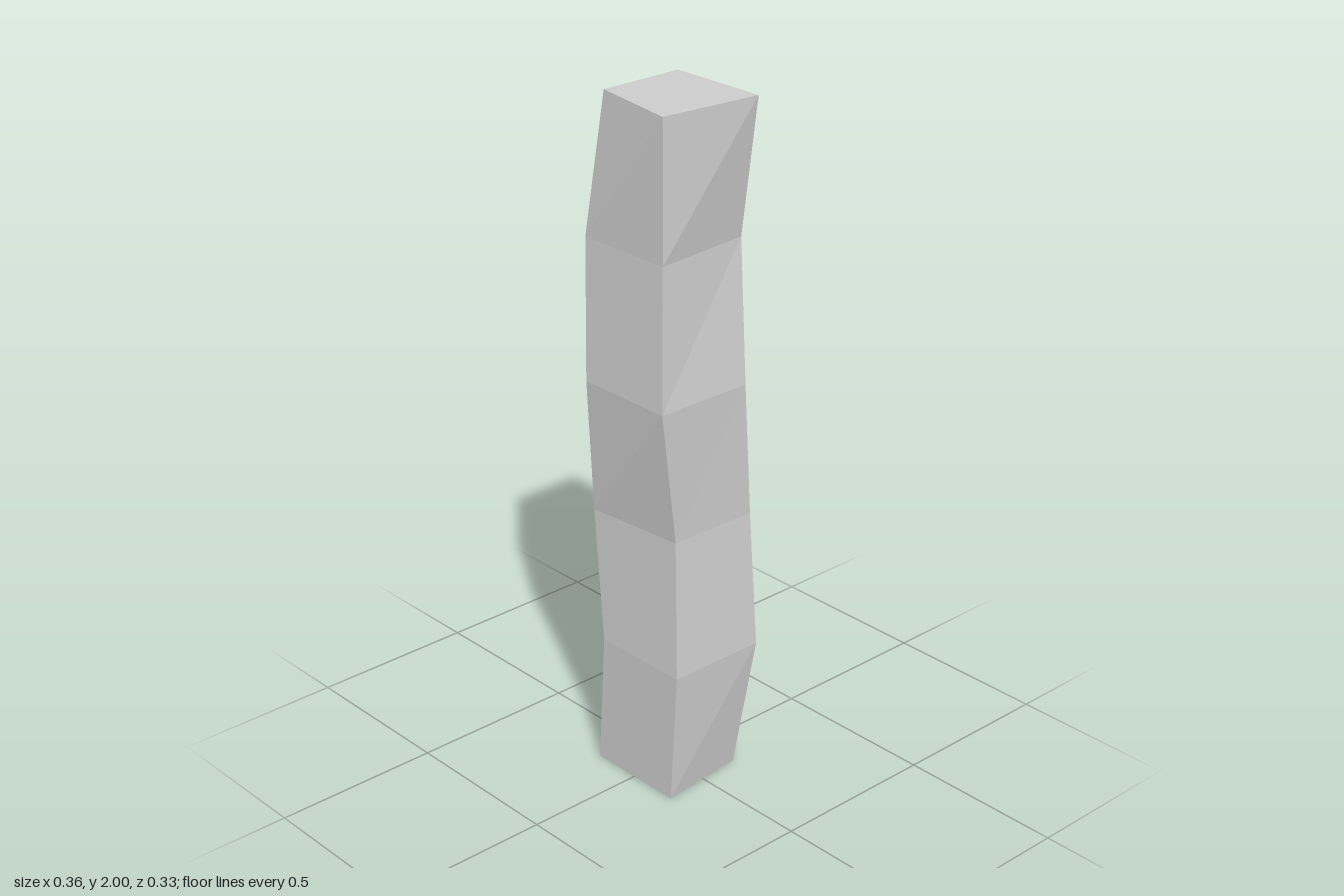
import * as THREE from 'three';

// Rings from bottom to top; corners: front left(-x), front right(+x), back right, back left as [x, z]
const rings = [
  [[-0.15, 0.137], [0.155, 0.137], [0.128, -0.132], [-0.15, -0.165]],
  [[-0.125, 0.137], [0.18, 0.137], [0.18, -0.167], [-0.125, -0.132]],
  [[-0.16, 0.137], [0.145, 0.11], [0.147, -0.167], [-0.16, -0.167]],
  [[-0.15, 0.167], [0.155, 0.167], [0.155, -0.135], [-0.12, -0.135]],
  [[-0.18, 0.137], [0.125, 0.137], [0.098, -0.167], [-0.158, -0.14]],
  [[-0.15, 0.093], [0.125, 0.137], [0.155, -0.167], [-0.15, -0.167]],
];
const STEP = 0.4;

export function createModel() {
  const positions = [];
  const corner = (level, i) => {
    const [x, z] = rings[level][i % 4];
    return [x, level * STEP, z];
  };
  const quad = (a, b, c, d) => positions.push(...a, ...b, ...c, ...a, ...c, ...d);

  // Four sides, one quad per segment
  const top = rings.length - 1;
  for (let l = 0; l < top; l++) {
    for (let i = 0; i < 4; i++) {
      quad(corner(l, i), corner(l, i + 1), corner(l + 1, i + 1), corner(l + 1, i));
    }
  }
  // End caps
  quad(corner(top, 0), corner(top, 1), corner(top, 2), corner(top, 3));
  quad(corner(0, 3), corner(0, 2), corner(0, 1), corner(0, 0));

  const geometry = new THREE.BufferGeometry();
  geometry.setAttribute('position', new THREE.Float32BufferAttribute(positions, 3));
  geometry.computeVertexNormals();

  const post = new THREE.Mesh(
    geometry,
    new THREE.MeshStandardMaterial({ color: 0xcccccc, flatShading: true })
  );
  post.name = 'crookedPost';

  const group = new THREE.Group();
  group.name = 'woodenPost';
  group.add(post);
  return group;
}
